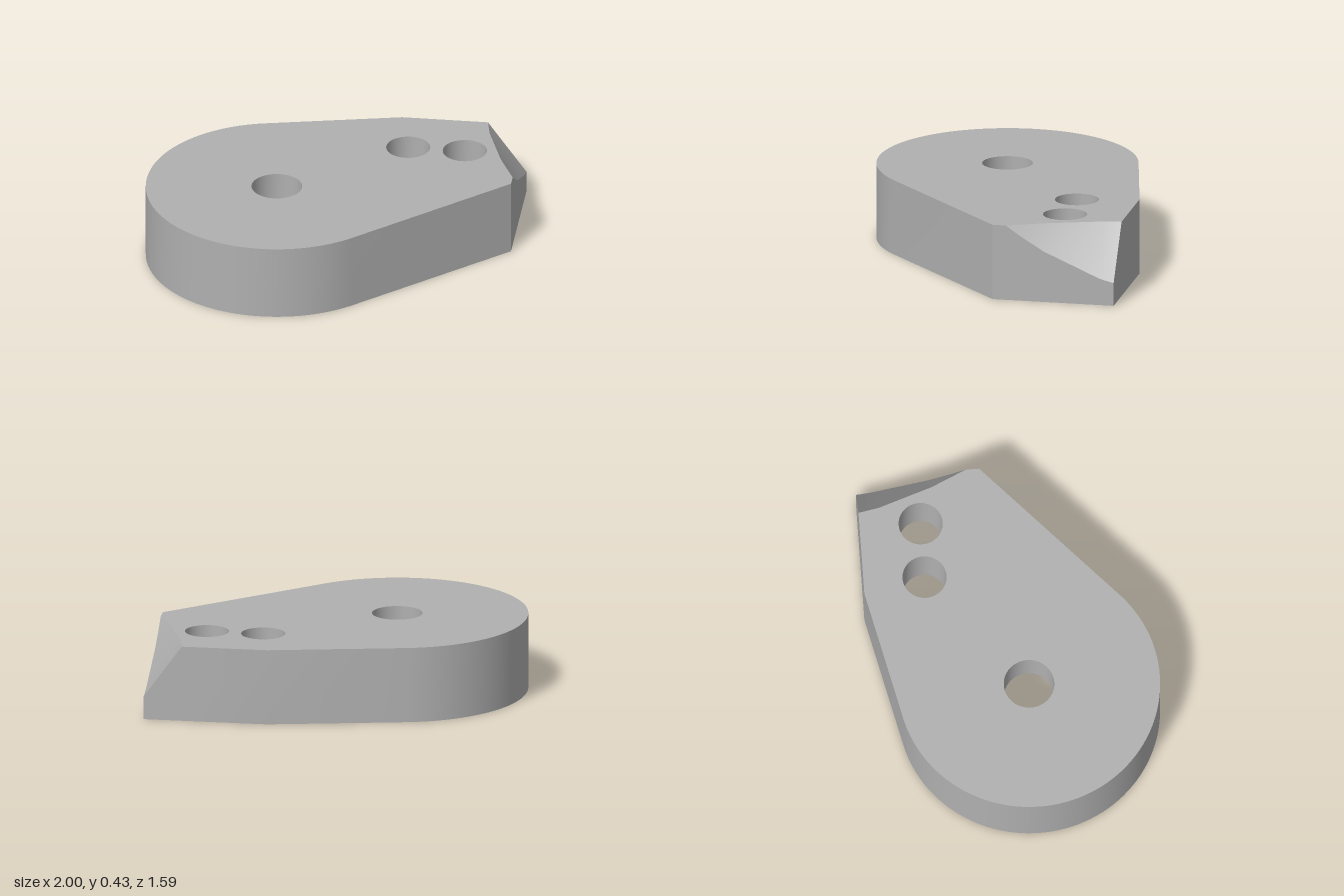
import * as THREE from 'three';
import { toCreasedNormals } from 'three/addons/utils/BufferGeometryUtils.js';

const H = 0.425, HEX_DEPTH = 0.21, BORE_DEPTH = 0.13;
const PIVOT = [-0.28, 0.073], BOLTS = [[0.385, -0.46], [0.7, -0.46]];

// Points [x, z] along an arc, angles in degrees running from x towards z
function arc([cx, cz], r, from, to, n) {
  return Array.from({ length: n + 1 }, (_, i) => {
    const a = THREE.MathUtils.degToRad(from + (to - from) * i / n);
    return [cx + r * Math.cos(a), cz + r * Math.sin(a)];
  });
}
const circle = (c, r, n = 48) => arc(c, r, 0, 360, n).slice(0, -1);

// Strip of quads between two rows of 3D points
function strip(low, high) {
  const pos = [];
  for (let i = 0; i < low.length - 1; i++) {
    pos.push(...low[i], ...high[i], ...low[i + 1], ...low[i + 1], ...high[i], ...high[i + 1]);
  }
  const g = new THREE.BufferGeometry();
  g.setAttribute('position', new THREE.Float32BufferAttribute(pos, 3));
  return toCreasedNormals(g, 0.45);
}

// Closed vertical wall; the third value of a point, if given, is its own top height
function wall(points, y0, y1) {
  const loop = [...points, points[0]];
  return strip(loop.map(([x, z]) => [x, y0, z]), loop.map(([x, z, y = y1]) => [x, y, z]));
}
const holeWall = (points, y0, y1) => wall([...points].reverse(), y0, y1);

// Flat face with holes, facing up or down
function face(outline, holes, y, up) {
  const s = up ? -1 : 1;
  const vec = pts => pts.map(([x, z]) => new THREE.Vector2(x, s * z));
  const shape = new THREE.Shape(vec(outline));
  shape.holes = holes.map(h => new THREE.Path(vec(h)));
  return new THREE.ShapeGeometry(shape).rotateX(s * Math.PI / 2).translate(0, y, 0);
}

export function createModel() {
  const group = new THREE.Group();
  const grey = new THREE.MeshStandardMaterial({ color: 0xb0b0b0 });
  grey.name = 'grey';
  const add = (name, geometry) => {
    const mesh = new THREE.Mesh(geometry, grey);
    mesh.name = name;
    group.add(mesh);
  };

  // Plan outline: round end, straight flanks and a square back corner
  const body = [[1, -0.115], ...arc(PIVOT, 0.724, 47.6, 258, 72), [0.31, -0.798]];

  // Scooped corner: its edge on the top face and on the side face, front to back
  const topEdge = [[1, -0.19], [0.965, -0.265], [0.91, -0.385], [0.81, -0.68], [0.787, -0.798]];
  const sideEdge = [[-0.19, H], [-0.27, 0.37], [-0.4, 0.29], [-0.72, 0.15], [-0.798, 0.13]];
  const sidePoints = sideEdge.map(([z, y]) => [1, z, y]);

  add('outerWall', wall([...body, topEdge[4], ...sidePoints.reverse()], 0, H));
  add('scoopedCorner', strip(
    topEdge.map(([x, z]) => [x, H, z]),
    sideEdge.map(([z, y]) => [1, y, z])));

  // Holes, hexagonal pocket and the merged pair of counterbores underneath
  const pivotHole = circle(PIVOT, 0.14);
  const boltHoles = BOLTS.map(c => circle(c, 0.122));
  const hexagon = circle(PIVOT, 0.27, 6);
  const R = 0.212;
  const half = THREE.MathUtils.radToDeg(Math.acos((BOLTS[1][0] - BOLTS[0][0]) / 2 / R));
  const bores = [
    ...arc(BOLTS[0], R, half, 360 - half, 40),
    ...arc(BOLTS[1], R, 180 + half, 540 - half, 40).slice(1, -1),
  ];

  add('topFace', face([...body, ...[...topEdge].reverse()], [pivotHole, ...boltHoles], H, true));
  add('bottomFace', face([...body, [1, -0.798]], [hexagon, bores], 0, false));

  add('pivotHole', holeWall(pivotHole, HEX_DEPTH, H));
  add('hexPocketWall', holeWall(hexagon, 0, HEX_DEPTH));
  add('hexPocketFloor', face(hexagon, [pivotHole], HEX_DEPTH, false));

  boltHoles.forEach(h => add('boltHole', holeWall(h, BORE_DEPTH, H)));
  add('counterboreWall', holeWall(bores, 0, BORE_DEPTH));
  add('counterboreFloor', face(bores, boltHoles, BORE_DEPTH, false));

  return group;
}
